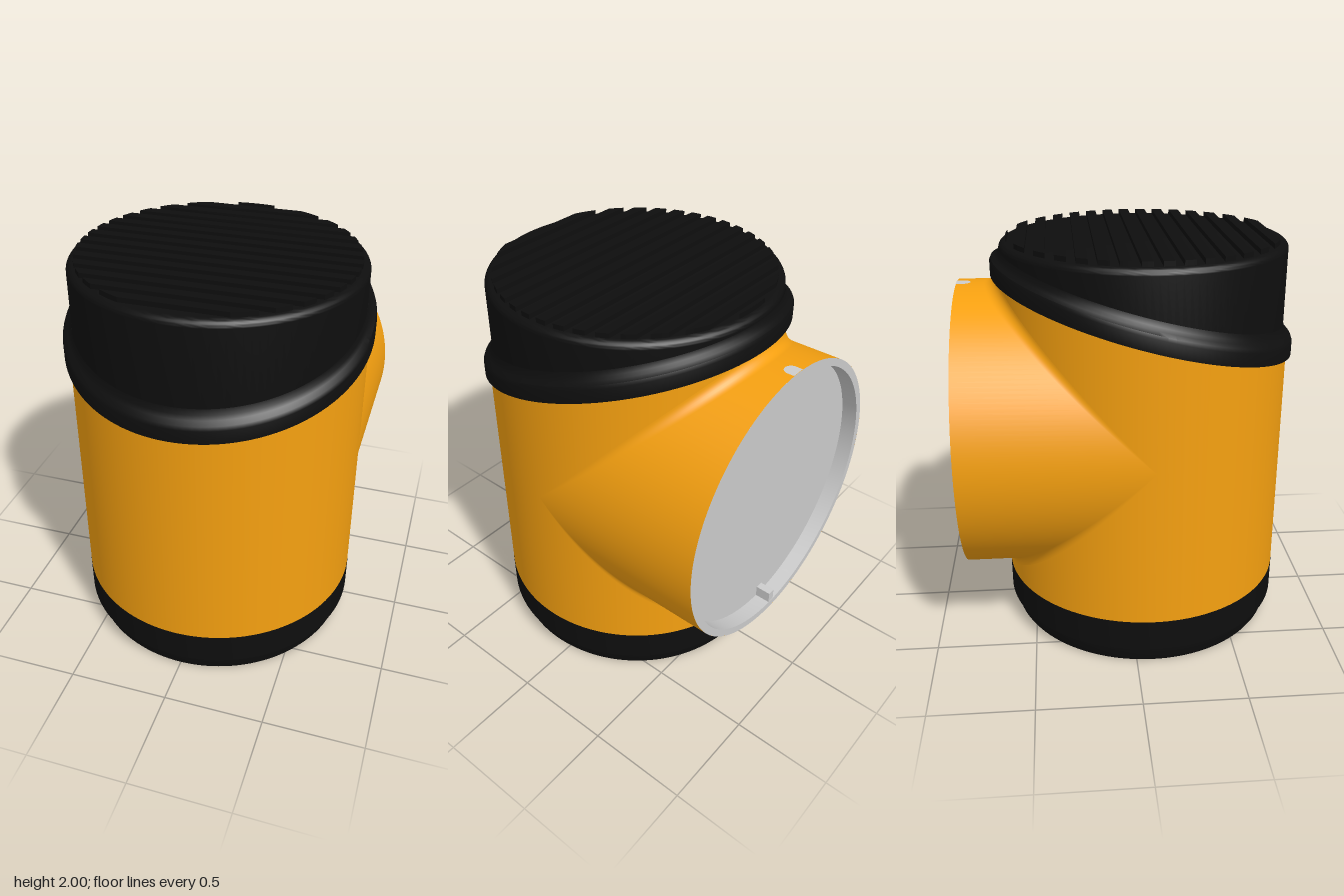
import * as THREE from 'three';
import { mergeVertices, toCreasedNormals } from 'three/addons/utils/BufferGeometryUtils.js';

const R = 0.718;        // radius of both crossing pipes
const AXIS_Z = 0.083;   // position of the upright axis
const PIPE_Y = 1.048;   // height of the side pipe axis
const END = 0.908;      // side pipe length from the upright axis
const SLOPE = Math.tan(Math.PI / 12);
const CUT_Y = 1.62;     // height of the slanted cut on the axis
const SEG = 128;

const orange = new THREE.MeshStandardMaterial({ color: 0xf5a010, side: THREE.DoubleSide });
const black = new THREE.MeshStandardMaterial({ color: 0x0e0e0e, side: THREE.DoubleSide });
const grey = new THREE.MeshStandardMaterial({ color: 0xcccccc, side: THREE.DoubleSide });

const lathe = (pts) => new THREE.LatheGeometry(pts.map(([r, y]) => new THREE.Vector2(r, y)), SEG);

// Tilt every vertex below a given height to follow the slanted cut
function slant(geo, test) {
  const p = geo.attributes.position;
  for (let i = 0; i < p.count; i++) {
    if (test(p.getY(i))) p.setY(i, p.getY(i) - SLOPE * p.getZ(i));
  }
  return geo;
}

// Side pipe with a rolling-ball fillet where it meets the upright pipe
function sidePipeGeometry() {
  const r = 0.055, rows = 9, n = 192, pos = [], idx = [];
  for (let i = 0; i <= n; i++) {
    const a = (i % n) / n * Math.PI * 2, c = Math.cos(a), s = Math.sin(a), k = Math.abs(s);
    const centre = new THREE.Vector3(c * (R + r), s * (R + r), -k * (R + r));
    const toBody = new THREE.Vector3(-c, 0, k), toPipe = new THREE.Vector3(-c, -s, 0);
    const angle = toBody.angleTo(toPipe), sin = Math.sin(angle);
    for (let j = 0; j < rows; j++) {
      const t = j / (rows - 1);
      const wa = sin > 1e-4 ? Math.sin((1 - t) * angle) / sin : 1 - t;
      const wb = sin > 1e-4 ? Math.sin(t * angle) / sin : t;
      const p = centre.clone().addScaledVector(toBody, r * wa).addScaledVector(toPipe, r * wb);
      pos.push(p.x, p.y, p.z);
    }
    pos.push(c * R, s * R, -END);
  }
  const w = rows + 1;
  for (let i = 0; i < n; i++) for (let j = 0; j < rows; j++) {
    const a = i * w + j, b = a + w;
    idx.push(a, a + 1, b, b, a + 1, b + 1);
  }
  let geo = new THREE.BufferGeometry();
  geo.setAttribute('position', new THREE.Float32BufferAttribute(pos, 3));
  geo.setIndex(idx);
  geo = mergeVertices(geo, 1e-5);
  geo.computeVertexNormals();
  return geo.translate(0, PIPE_Y, 0);
}

// Strip of a disc between two z positions, raised from the lid
function ridgeGeometry(z0, z1, radius) {
  const right = [];
  for (let i = 0; i <= 8; i++) {
    const z = z0 + (z1 - z0) * i / 8;
    right.push(new THREE.Vector2(Math.sqrt(Math.max(0, radius * radius - z * z)), -z));
  }
  const left = right.map((p) => new THREE.Vector2(-p.x, p.y)).reverse();
  return new THREE.ExtrudeGeometry(new THREE.Shape([...right, ...left]), { depth: 0.03, bevelEnabled: false })
    .rotateX(-Math.PI / 2).translate(0, 1.97, 0);
}

export function createModel() {
  const model = new THREE.Group();
  model.name = 'pipeTee';
  const tee = new THREE.Group();
  tee.name = 'tee';
  tee.position.z = AXIS_Z;
  model.add(tee);
  const add = (name, geo, mat, parent = tee) => {
    const mesh = new THREE.Mesh(geo, mat);
    mesh.name = name;
    parent.add(mesh);
    return mesh;
  };

  // Upright pipe, cut at a slant on top
  add('uprightPipe', slant(lathe([[R, 0.25], [R, CUT_Y]]), (y) => y > 1), orange);
  add('sidePipe', sidePipeGeometry(), orange);

  // Bottom cap with its stepped foot
  add('bottomCap', toCreasedNormals(lathe([
    [0, 0.01], [0.6, 0.01], [0.61, 0], [0.677, 0], [0.687, 0.015],
    [0.687, 0.09], [R, 0.09], [R + 0.001, 0.25], [R - 0.03, 0.25],
  ]), 0.6), black);

  // Slanted collar of the lid
  add('lidCollar', toCreasedNormals(slant(lathe([
    [0.68, 0], [0.742, 0], [0.742, 0.065], [0.735, 0.082], [0.715, 0.095],
    [0.703, 0.11], [0.696, 0.135],
  ].map(([r, y]) => [r, CUT_Y + y])), () => true), 0.6), black);

  // Lid drum with rounded rim
  const rim = [];
  for (let i = 0; i <= 6; i++) {
    const a = i / 6 * Math.PI / 3;
    rim.push([0.645 + 0.05 * Math.cos(a), 1.945 + 0.035 * Math.sin(a)]);
  }
  add('lidDrum', toCreasedNormals(slant(lathe([
    [0.695, CUT_Y + 0.05], ...rim, [0.655, 1.977], [0, 1.977],
  ]), (y) => y < 1.7), 0.6), black);

  // Raised ridges across the lid, separated by narrow grooves
  const ridges = new THREE.Group();
  ridges.name = 'lidRidges';
  tee.add(ridges);
  const radius = 0.66, pitch = 0.0905, half = 0.02, first = -0.633;
  for (let i = -1; i < 14; i++) {
    const z0 = Math.max(-radius, first + i * pitch + half);
    const z1 = Math.min(radius, first + (i + 1) * pitch - half);
    if (z1 - z0 > 0.005) add('lidRidge', ridgeGeometry(z0, z1, radius), black, ridges);
  }

  // Recessed grey closure and lip in the side pipe mouth
  add('pipeMouth', toCreasedNormals(lathe([
    [R, END], [0.68, END], [0.68, END - 0.08], [0, END - 0.08],
  ]), 0.6).rotateX(-Math.PI / 2).translate(0, PIPE_Y, 0), grey);

  // Small key at the bottom of the mouth
  add('mouthKey', new THREE.BoxGeometry(0.04, 0.07, 0.08)
    .translate(0, PIPE_Y - 0.655, -END + 0.042), grey);

  // Round-ended notch mark on top of the pipe end
  const notch = new THREE.Shape();
  notch.moveTo(0.035, END);
  notch.lineTo(-0.035, END);
  notch.lineTo(-0.035, END - 0.033);
  notch.absarc(0, END - 0.033, 0.035, Math.PI, Math.PI * 2, false);
  add('pipeNotch', new THREE.ShapeGeometry(notch, 16)
    .rotateX(-Math.PI / 2).translate(0, PIPE_Y + R + 0.002, 0), grey);

  return model;
}
